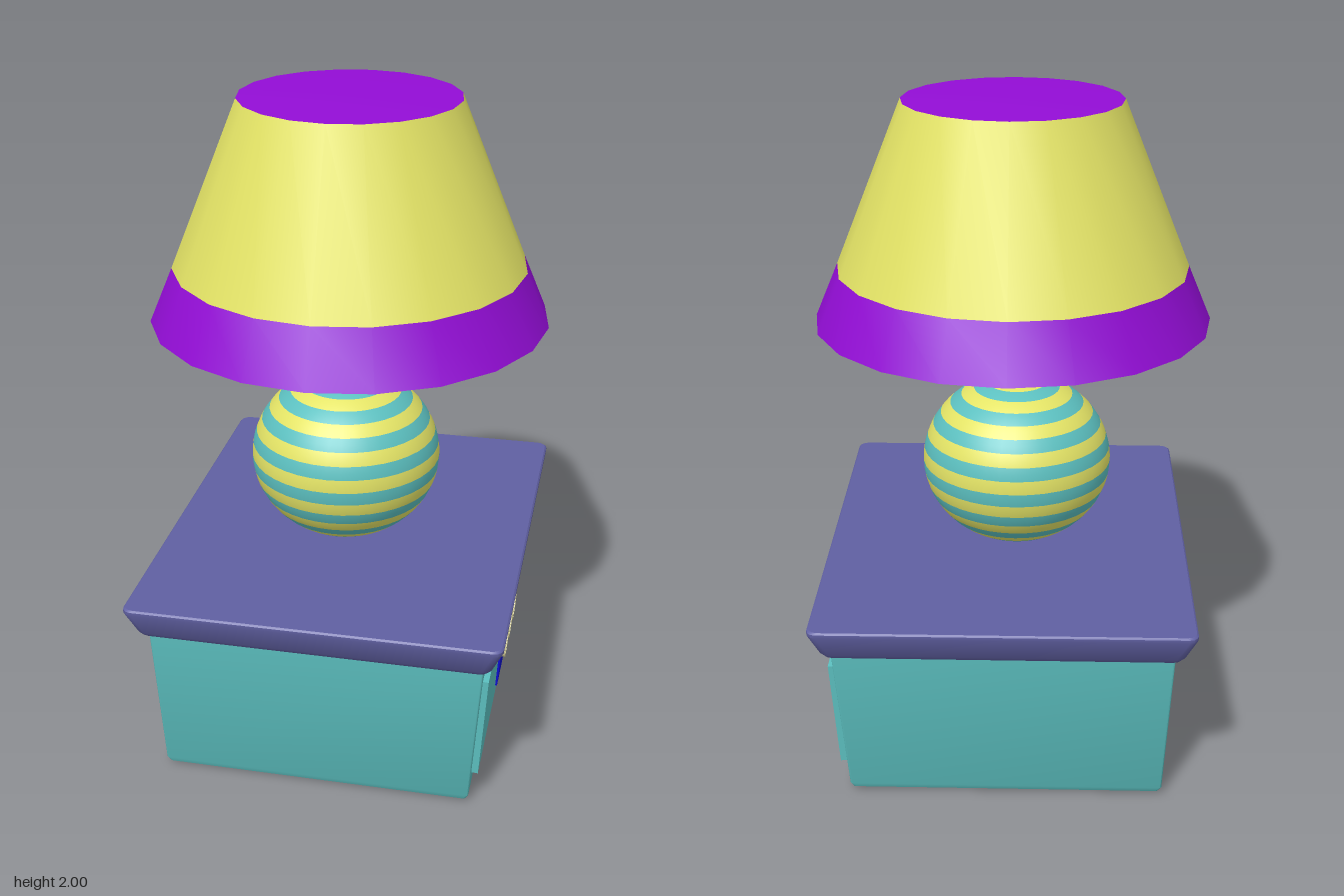
import * as THREE from 'three';
import { mergeGeometries, toCreasedNormals } from 'three/addons/utils/BufferGeometryUtils.js';

const mat = (color) => new THREE.MeshStandardMaterial({ color });
const teal = mat(0x5cc0c0), yellow = mat(0xe4e466), purple = mat(0x930dd6);
const slabBlue = mat(0x6060a2), plateBlue = mat(0x0d0dd0), grey = mat(0xcccccc), brass = mat(0xd2cc98);

function add(parent, name, geometry, material) {
  const mesh = new THREE.Mesh(geometry, material);
  mesh.name = name;
  parent.add(mesh);
  return mesh;
}

// Turned part from [radius, height] pairs
function turned(points, sides) {
  const geo = new THREE.LatheGeometry(points.map(([r, y]) => new THREE.Vector2(r, y)), sides);
  return toCreasedNormals(geo, 0.6);
}

// Stack of rounded rectangles [y, xMin, xMax, zMin, zMax], closed at both ends
function stackedBox(sections, radius) {
  const pos = [], index = [], steps = 3, n = 4 * (steps + 1);
  for (const [y, x0, x1, z0, z1] of sections) {
    for (let c = 0; c < 4; c++) {
      const cx = c === 0 || c === 3 ? x1 - radius : x0 + radius;
      const cz = c < 2 ? z1 - radius : z0 + radius;
      for (let s = 0; s <= steps; s++) {
        const a = (c + s / steps) * Math.PI / 2;
        pos.push(cx + radius * Math.cos(a), y, cz + radius * Math.sin(a));
      }
    }
  }
  const last = (sections.length - 1) * n;
  for (let k = 0; k < last; k += n) {
    for (let i = 0; i < n; i++) {
      const a = k + i, b = k + (i + 1) % n;
      index.push(a, a + n, b, b, a + n, b + n);
    }
  }
  for (let i = 1; i < n - 1; i++) {
    index.push(0, i, i + 1, last, last + i + 1, last + i);
  }
  const geo = new THREE.BufferGeometry();
  geo.setAttribute('position', new THREE.Float32BufferAttribute(pos, 3));
  geo.setIndex(index);
  return toCreasedNormals(geo, 0.6);
}

// Flat plate, wider at the top, facing +x
function plate(topHalf, bottomHalf, y0, y1, depth) {
  const shape = new THREE.Shape([
    new THREE.Vector2(-bottomHalf, y0), new THREE.Vector2(bottomHalf, y0),
    new THREE.Vector2(topHalf, y1), new THREE.Vector2(-topHalf, y1),
  ]);
  return new THREE.ExtrudeGeometry(shape, { depth, bevelEnabled: false }).rotateY(Math.PI / 2);
}

function createCabinet() {
  const cabinet = new THREE.Group();
  cabinet.name = 'cabinet';

  add(cabinet, 'cabinetBody', stackedBox([
    [0, -0.435, 0.45, -0.545, 0.555],
    [0.008, -0.455, 0.468, -0.56, 0.57],
    [0.025, -0.465, 0.477, -0.568, 0.577],
    [0.51, -0.488, 0.513, -0.608, 0.61],
  ], 0.006), teal);

  add(cabinet, 'tableTop', stackedBox([
    [0.504, -0.495, 0.52, -0.63, 0.63],
    [0.508, -0.505, 0.53, -0.64, 0.64],
    [0.522, -0.515, 0.54, -0.65, 0.65],
    [0.595, -0.545, 0.57, -0.68, 0.677],
    [0.605, -0.545, 0.57, -0.68, 0.677],
    [0.61, -0.54, 0.565, -0.675, 0.672],
  ], 0.028), slabBlue);

  // Drawer front leans with the cabinet side
  const drawer = new THREE.Group();
  drawer.name = 'drawer';
  drawer.position.set(0.5, 0.275, 0);
  drawer.rotation.z = -0.066;
  cabinet.add(drawer);
  add(drawer, 'drawerFront', plate(0.583, 0.565, -0.17, 0.17, 0.03), teal).position.x = -0.016;
  add(drawer, 'handlePlate', plate(0.188, 0.183, -0.115, 0.115, 0.02), plateBlue).position.x = 0;

  // Three slanted oval pulls
  for (const z of [0.118, 0.007, -0.105]) {
    const oval = new THREE.Shape().absellipse(0, 0, 0.033, 0.043, 0, Math.PI * 2, false, -0.4);
    oval.holes.push(new THREE.Path().absellipse(0, 0, 0.018, 0.036, 0, Math.PI * 2, true, -0.4));
    const geo = new THREE.ExtrudeGeometry(oval, { depth: 0.02, bevelEnabled: false, curveSegments: 20 });
    add(drawer, 'ovalPull', toCreasedNormals(geo.rotateY(Math.PI / 2), 0.6), brass).position.set(0.012, 0.005, z);
  }
  return cabinet;
}

function createLamp() {
  const lamp = new THREE.Group();
  lamp.name = 'lamp';
  lamp.position.z = 0.013;

  const stand = new THREE.Group();
  stand.name = 'lampStand';
  stand.position.x = -0.013;
  lamp.add(stand);

  // Striped ball of alternating latitude bands
  const bands = 20, step = Math.PI / bands, stripes = [[], []];
  for (let i = 0; i < bands; i++) {
    const band = new THREE.SphereGeometry(1, 40, 2, 0, Math.PI * 2, i * step, step);
    stripes[i % 2].push(band.scale(0.294, 0.265, 0.294).translate(0, 0.86, 0));
  }
  add(stand, 'ballTealStripes', mergeGeometries(stripes[0]), teal);
  add(stand, 'ballYellowStripes', mergeGeometries(stripes[1]), yellow);

  add(stand, 'post', new THREE.CylinderGeometry(0.045, 0.045, 0.88, 20).translate(0, 1.54, 0), yellow);
  add(stand, 'collar', turned([[0.04, 1.165], [0.098, 1.165], [0.06, 1.217], [0.04, 1.217]], 20), grey);

  // Twenty-sided shade with a trim band and closed top
  const shade = new THREE.Group();
  shade.name = 'lampshade';
  lamp.add(shade);
  add(shade, 'shadeOuter', turned([[0.53, 1.49], [0.327, 1.99]], 20), yellow);
  add(shade, 'shadeInner', turned([[0, 1.975], [0.3, 1.975], [0.54, 1.325]], 20), yellow);
  add(shade, 'shadeTrim', turned([[0.54, 1.325], [0.6, 1.325], [0.53, 1.49]], 20), purple);
  add(shade, 'shadeTop', turned([[0.327, 1.99], [0, 2]], 20), purple);
  return lamp;
}

export function createModel() {
  const model = new THREE.Group();
  model.name = 'bedsideTableWithLamp';
  model.add(createCabinet(), createLamp());
  return model;
}
